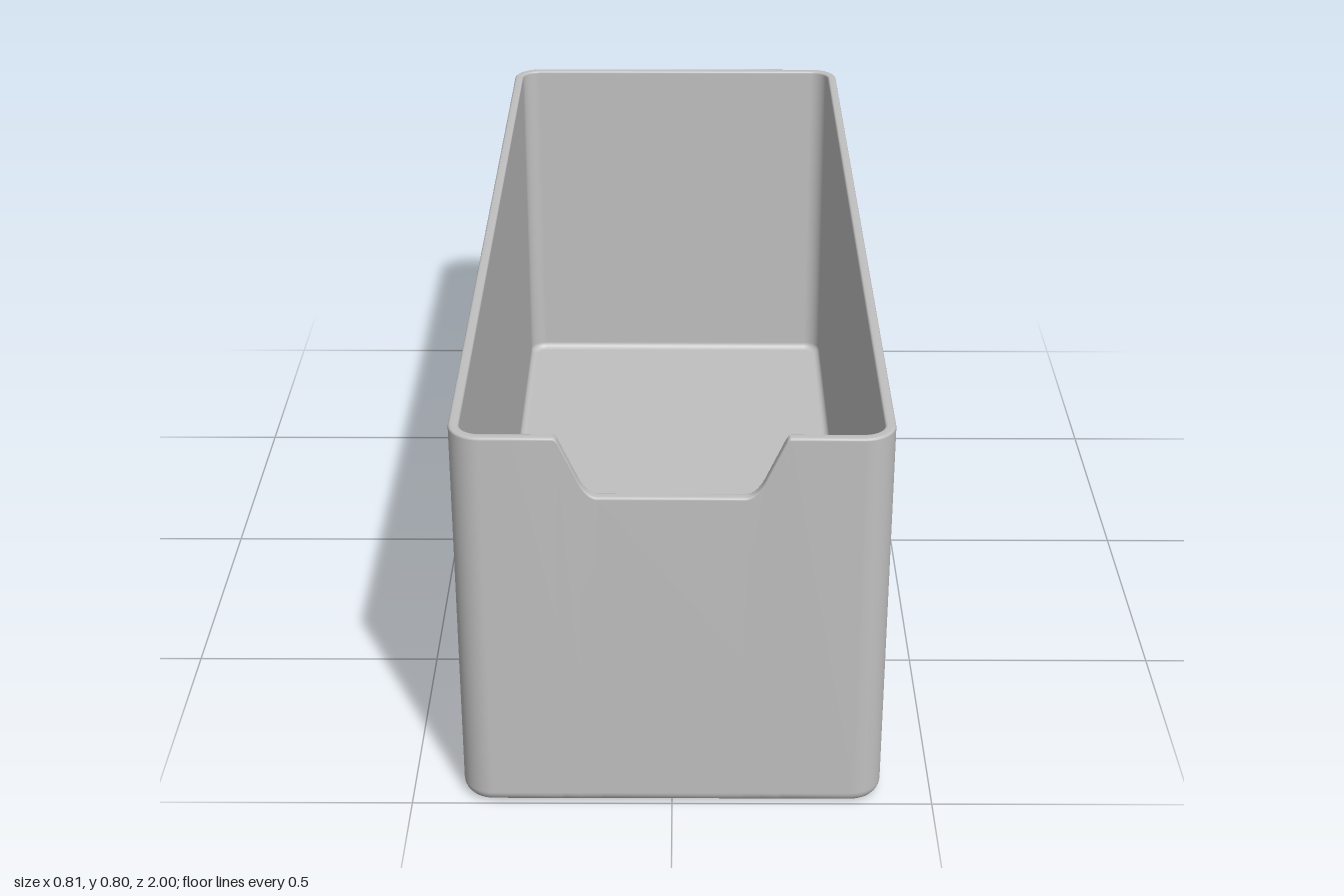
import * as THREE from 'three';

const W = 0.403, D = 1, H = 0.795; // half width, half depth, height
const R = 0.06, WALL = 0.02;       // corner radius, wall thickness
const BASE = 0.025, RIM = 0.005, FLOOR = 0.016; // edge roundings

// Columns round the plan: corner centre, outward direction and rim height
function makeColumns() {
  const columns = [];
  const corners = [[1, 1], [-1, 1], [-1, -1], [1, -1]];
  corners.forEach(([sx, sz], k) => {
    for (let i = 0; i <= 10; i++) {
      const a = (k + i / 10) * Math.PI / 2;
      columns.push({ x: sx * (W - R), z: sz * (D - R), nx: Math.cos(a), nz: Math.sin(a), top: H });
    }
    if (k === 0) {
      // Finger notch in the front wall
      const bend = new THREE.QuadraticBezierCurve(
        new THREE.Vector2(0.172, 0.716), new THREE.Vector2(0.155, 0.674), new THREE.Vector2(0.132, 0.674));
      const half = [new THREE.Vector2(0.212, H), new THREE.Vector2(0.208, H - 0.002),
        new THREE.Vector2(0.204, H - 0.008), ...bend.getPoints(8)];
      const mirrored = half.map(p => new THREE.Vector2(-p.x, p.y)).reverse();
      for (const p of [...half, ...mirrored]) {
        columns.push({ x: p.x, z: D - R, nx: 0, nz: 1, top: p.y });
      }
    }
  });
  return columns;
}

// Wall section from underside to inside floor: inset, height, height measured from rim?
function makeSection() {
  const section = [];
  const arc = (ci, cy, r, from, to, steps, atRim) => {
    for (let i = 0; i <= steps; i++) {
      const a = from + (to - from) * i / steps;
      section.push({ inset: ci - r * Math.cos(a), y: cy + r * Math.sin(a), atRim });
    }
  };
  const q = Math.PI / 2;
  arc(BASE, BASE, BASE, -q, 0, 6, false);
  arc(RIM, -RIM, RIM, 0, q, 3, true);
  arc(WALL - RIM, -RIM, RIM, q, 2 * q, 3, true);
  arc(WALL + FLOOR, WALL + FLOOR, FLOOR, 0, -q, 5, false);
  return section;
}

function trayGeometry() {
  const columns = makeColumns(), section = makeSection();
  const rows = section.length + 2, n = columns.length;
  const positions = [], index = [];
  for (const c of columns) {
    positions.push(0, 0, 0); // centre of underside
    for (const s of section) {
      const r = R - s.inset;
      positions.push(c.x + c.nx * r, s.atRim ? c.top + s.y : s.y, c.z + c.nz * r);
    }
    positions.push(0, WALL, 0); // centre of inside floor
  }
  for (let i = 0; i < n; i++) {
    for (let j = 0; j < rows - 1; j++) {
      const a = i * rows + j, b = ((i + 1) % n) * rows + j;
      if (j < rows - 2) index.push(a, a + 1, b + 1);
      if (j > 0) index.push(a, b + 1, b);
      if (j === rows - 2) index.push();
    }
  }
  const geometry = new THREE.BufferGeometry();
  geometry.setAttribute('position', new THREE.Float32BufferAttribute(positions, 3));
  geometry.setIndex(index);
  geometry.computeVertexNormals();
  return geometry;
}

export function createModel() {
  const group = new THREE.Group();
  group.name = 'storageBin';
  const grey = new THREE.MeshStandardMaterial({ color: 0xc0c0c0 });
  grey.name = 'grey plastic';
  const bin = new THREE.Mesh(trayGeometry(), grey);
  bin.name = 'openBinWithNotch';
  group.add(bin);
  return group;
}
